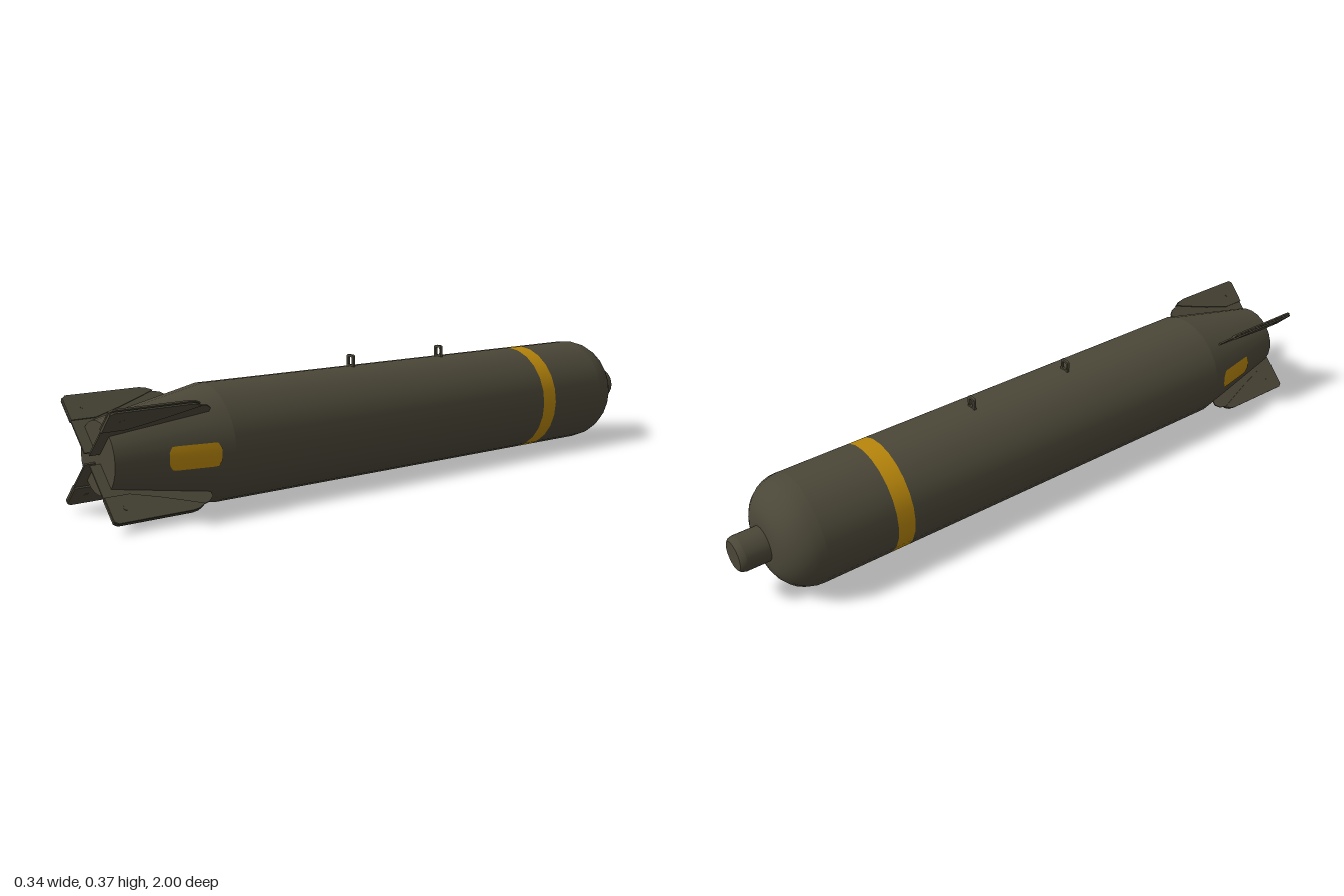
import * as THREE from 'three';

const R = 0.168, CY = 0.17, SIDES = 24;

export function createModel() {
  const model = new THREE.Group();
  model.name = 'finnedCylinder';
  const olive = new THREE.MeshStandardMaterial({ color: 0x4b4738 });
  olive.name = 'olive drab';
  const yellow = new THREE.MeshStandardMaterial({ color: 0xb8860b });
  yellow.name = 'marking yellow';

  const add = (parent, name, geometry, material = olive) => {
    const mesh = new THREE.Mesh(geometry, material);
    mesh.name = name;
    parent.add(mesh);
    return mesh;
  };

  // Parts turned about the long axis; profile is [radius, z] with z rising
  const body = new THREE.Group();
  body.name = 'body';
  body.position.y = CY;
  model.add(body);
  const turned = (name, profile, material) => {
    const points = profile.map(([r, z]) => new THREE.Vector2(r, z));
    add(body, name, new THREE.LatheGeometry(points, SIDES).rotateX(Math.PI / 2), material);
  };

  const dome = [];
  for (let i = 0; i <= 8; i++) {
    const a = (i / 8) * Math.PI / 2;
    dome.push([0.06 + (R - 0.06) * Math.sin(a), -0.8 - 0.112 * Math.cos(a)]);
  }
  turned('noseDome', dome);
  turned('noseFace', [[0, -0.912], [0.06, -0.912]]);
  turned('nosePlug', [[0.053, -0.982], [0.053, -0.9]]);
  turned('nosePlugRim', [[0.043, -1], [0.05, -0.994], [0.053, -0.982]]);
  turned('nosePlugCap', [[0, -1], [0.043, -1]]);
  turned('frontBody', [[R, -0.8], [R, -0.58]]);
  turned('warningBand', [[R, -0.58], [R, -0.525]], yellow);
  turned('mainBody', [[R, -0.525], [R, 0.65]]);
  turned('tailCone', [[R, 0.65], [0.101, 0.97]]);
  turned('tailFace', [[0.101, 0.97], [0, 0.97]]);

  // Flat plate from [z, radius] points, standing in the plane of z and +x
  const plate = (points, thickness, holes = []) => {
    const shape = new THREE.Shape(points.map(([z, r]) => new THREE.Vector2(z, r)));
    shape.holes.push(...holes);
    return new THREE.ExtrudeGeometry(shape, { depth: thickness, bevelEnabled: false })
      .translate(0, 0, -thickness / 2)
      .applyMatrix4(new THREE.Matrix4().set(
        0, 1, 0, 0,
        0, 0, 1, 0,
        1, 0, 0, 0,
        0, 0, 0, 1));
  };

  // Four tail fins: a thin root plate and a thicker outer blade
  const rootPoints = [[0.7, 0.14], [0.7, 0.172], [0.715, 0.185], [0.77, 0.2],
    [1, 0.2], [1, 0.02], [0.96, 0.02]];
  const bladePoints = [[0.735, 0.192], [0.755, 0.203], [0.775, 0.206], [0.99, 0.206],
    [1, 0.198], [1, 0.125], [0.93, 0.125], [0.85, 0.15], [0.78, 0.175]];
  const rootGeometry = plate(rootPoints, 0.005);
  const bladeGeometry = plate(bladePoints, 0.005);
  const boltGeometry = new THREE.CylinderGeometry(0.008, 0.008, 0.016, 6);
  for (let i = 0; i < 4; i++) {
    const fin = new THREE.Group();
    fin.name = 'tailFin' + (i + 1);
    fin.rotation.z = Math.PI / 4 + i * Math.PI / 2;
    body.add(fin);
    add(fin, 'finRoot', rootGeometry);
    add(fin, 'finBlade', bladeGeometry).position.y = 0.006;
    add(fin, 'finBackingBlade', bladeGeometry).position.y = -0.003;
    add(fin, 'finBolt', boltGeometry).position.set(0.165, 0.002, 0.955);
  }

  // Yellow side patches wrapped on the tail cone, with rounded corners
  for (const side of [1, -1]) {
    const geometry = new THREE.PlaneGeometry(0.14, 0.065, 16, 6);
    const p = geometry.attributes.position;
    for (let i = 0; i < p.count; i++) {
      const u = p.getX(i), z = 0.76 + u;
      const c = Math.max(0, Math.abs(u) - 0.055) / 0.015;
      const half = 0.0325 - 0.015 * (1 - Math.sqrt(Math.max(0, 1 - c * c)));
      const y = p.getY(i) / 0.0325 * half;
      const r = R - (z - 0.65) * (R - 0.101) / 0.32 + 0.002;
      p.setXYZ(i, Math.sqrt(r * r - y * y), y, -z);
    }
    // The plane runs tail to nose, then is turned to its side of the cone
    const index = geometry.index.array;
    p.array.forEach((v, i) => {
      if (i % 3 === 2) p.array[i] = -v;
      if (i % 3 === 0) p.array[i] = v * side;
    });
    if (side > 0) {
      for (let i = 0; i < index.length; i += 3) {
        [index[i], index[i + 1]] = [index[i + 1], index[i]];
      }
    }
    geometry.computeVertexNormals();
    add(body, side > 0 ? 'leftPatch' : 'rightPatch', geometry, yellow);
  }

  // Two hanging lugs on top
  const roundedRect = (path, w, y0, y1, r) => {
    path.moveTo(-w, y0);
    path.lineTo(w, y0);
    path.lineTo(w, y1 - r);
    path.quadraticCurveTo(w, y1, w - r, y1);
    path.lineTo(-w + r, y1);
    path.quadraticCurveTo(-w, y1, -w, y1 - r);
    path.lineTo(-w, y0);
    return path;
  };
  const lugShape = roundedRect(new THREE.Shape(), 0.016, 0.325, 0.372, 0.007);
  lugShape.holes.push(roundedRect(new THREE.Path(), 0.009, 0.342, 0.365, 0.005));
  const lugGeometry = new THREE.ExtrudeGeometry(lugShape,
    { depth: 0.008, bevelEnabled: false, curveSegments: 4 }).translate(0, 0, -0.004);
  add(model, 'rearLug', lugGeometry).position.z = 0.14;
  add(model, 'frontLug', lugGeometry).position.z = -0.21;

  return model;
}
